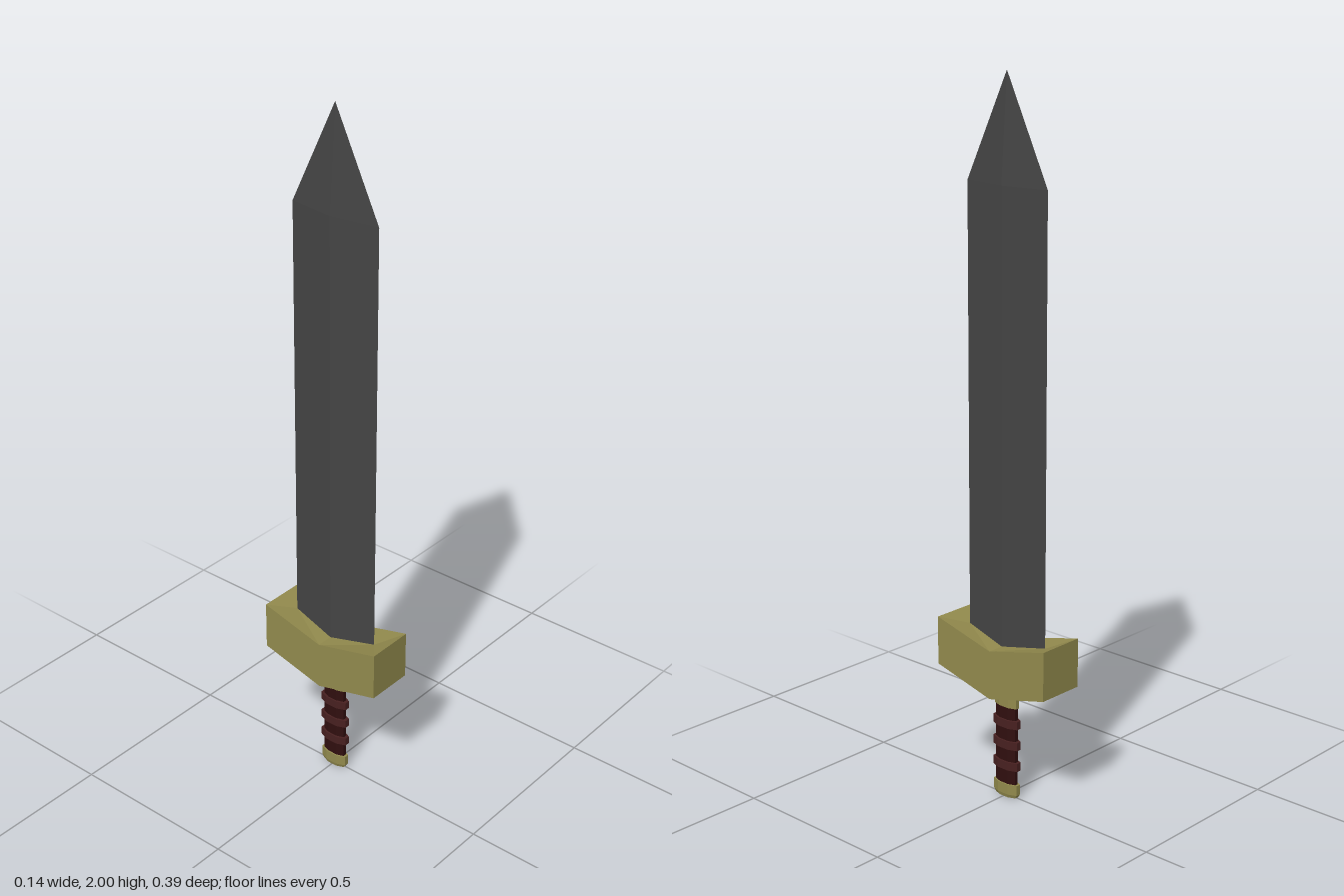
import * as THREE from 'three';

const mat = (name, color) => {
  const m = new THREE.MeshStandardMaterial({ color, flatShading: true });
  m.name = name;
  return m;
};

// Faceted normals for a geometry
function facet(geo) {
  const g = geo.index ? geo.toNonIndexed() : geo;
  g.computeVertexNormals();
  return g;
}

// Flattened prism: half depth hz, half width hx, from y0 to y1
function prism(sides, hx, hz, y0, y1, topScale = 1, bottomScale = 1) {
  const g = new THREE.CylinderGeometry(topScale, bottomScale, y1 - y0, sides);
  if (sides === 8) {
    g.rotateY(Math.PI / 8);
    g.scale(1 / Math.cos(Math.PI / 8), 1, 1 / Math.cos(Math.PI / 8));
  }
  g.scale(hx, 1, hz);
  g.translate(0, (y0 + y1) / 2, 0);
  return facet(g);
}

// V-shaped guard: one quarter mirrored in x and z, top dished towards the blade
function guardGeometry() {
  const X = 0.07, Z = 0.196;
  const p = {
    A: [X, 0.45, 0], B: [X, 0.5, Z], C: [0, 0.476, 0.14], D: [0, 0.45, 0],
    E: [0, 0.5, Z], F: [0, 0.36, Z], G: [X, 0.36, Z], H: [X, 0.31, 0], I: [0, 0.31, 0],
  };
  const faces = ['DCA', 'CBA', 'CEB', 'FGB', 'FBE', 'GHA', 'GAB', 'IHG', 'IGF'];
  const pos = [];
  for (const sx of [1, -1]) for (const sz of [1, -1]) for (const f of faces) {
    const order = sx * sz > 0 ? [...f] : [...f].reverse();
    for (const k of order) pos.push(p[k][0] * sx, p[k][1], p[k][2] * sz);
  }
  const g = new THREE.BufferGeometry();
  g.setAttribute('position', new THREE.Float32BufferAttribute(pos, 3));
  return facet(g);
}

export function createModel() {
  const steel = mat('dark steel', 0x444444);
  const brass = mat('dull brass', 0x928a4d);
  const leather = mat('dark red leather', 0x300f0f);
  const binding = mat('red binding', 0x482020);

  const model = new THREE.Group();
  model.name = 'sword';
  const add = (name, geo, material) => {
    const m = new THREE.Mesh(geo, material);
    m.name = name;
    model.add(m);
  };

  // Blade with diamond section and pointed tip
  add('blade', prism(4, 0.021, 0.14, 0.44, 1.71), steel);
  add('bladeTip', prism(4, 0.021, 0.14, 1.71, 2, 0), steel);

  // Guard and collar
  add('guard', guardGeometry(), brass);
  add('collar', prism(8, 0.014, 0.04, 0.27, 0.33), brass);

  // Grip with raised bindings
  add('grip', prism(8, 0.013, 0.036, 0.03, 0.275), leather);
  for (const y of [0.096, 0.159, 0.222]) {
    add('gripBinding', prism(8, 0.018, 0.045, y - 0.012, y + 0.012), binding);
  }

  // Pommel with a bevelled foot
  add('pommel', prism(8, 0.017, 0.043, 0.01, 0.04), brass);
  add('pommelFoot', prism(8, 0.017, 0.043, 0, 0.01, 1, 0.85), brass);

  return model;
}
